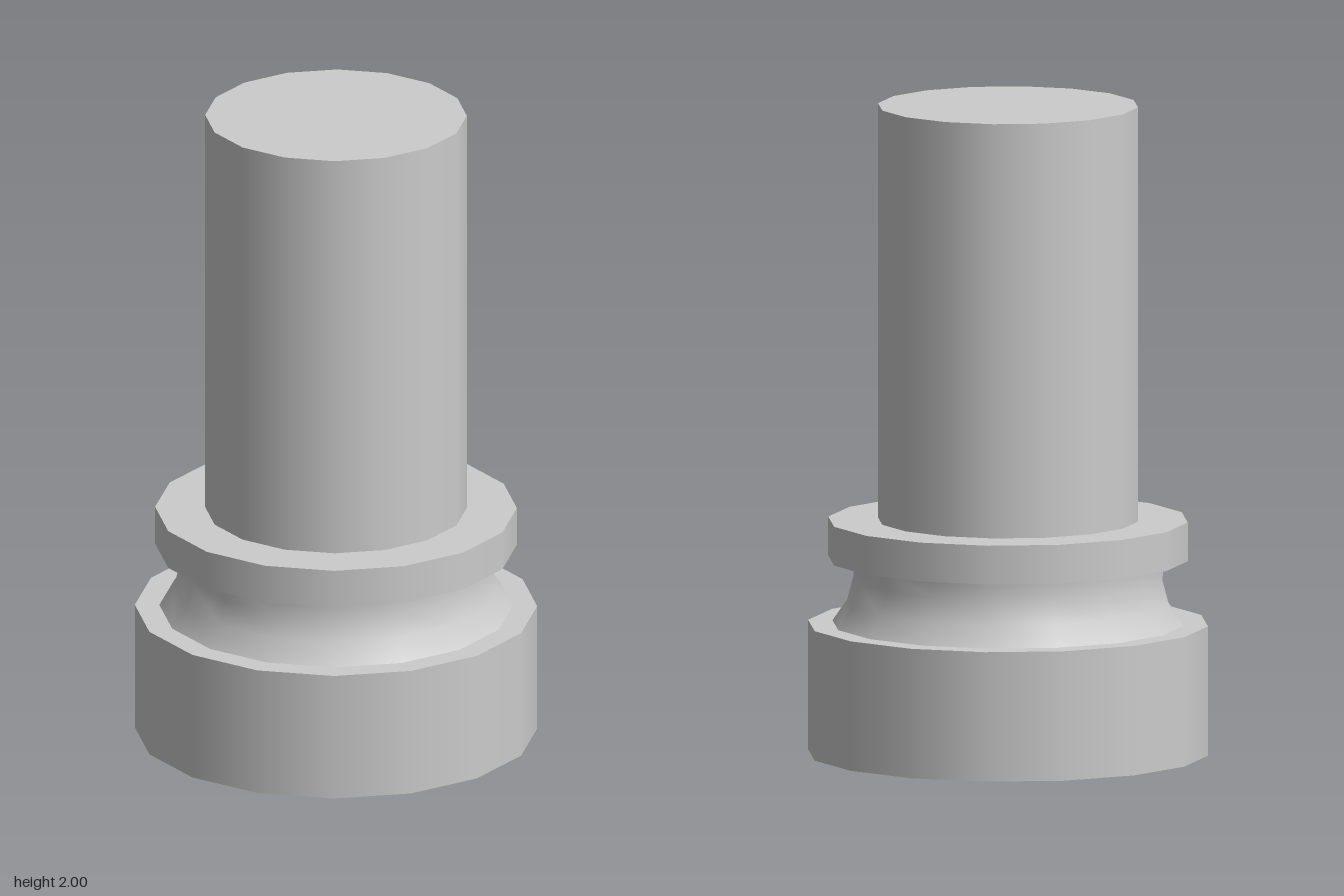
import * as THREE from 'three';

const SIDES = 16;
const material = new THREE.MeshStandardMaterial({ color: 0xcccccc, side: THREE.DoubleSide });

// One smooth band per profile; separate bands keep the rims sharp.
function band(name, profile) {
  const points = profile.map(([r, y]) => new THREE.Vector2(r, y));
  const mesh = new THREE.Mesh(new THREE.LatheGeometry(points, SIDES), material);
  mesh.name = name;
  return mesh;
}

// A part made of several bands, profiles running from the bottom outwards and up.
function part(name, bands) {
  const group = new THREE.Group();
  group.name = name;
  for (const [bandName, profile] of Object.entries(bands)) group.add(band(bandName, profile));
  return group;
}

export function createModel() {
  const model = new THREE.Group();
  model.name = 'steppedPipe';

  // Wide base skirt, open underneath
  model.add(part('base', {
    baseWall: [[0.615, 0], [0.615, 0.4]],
    baseShoulder: [[0.615, 0.4], [0.54, 0.4]],
  }));

  // Concave neck between base and collar
  model.add(band('neck', [[0.54, 0.4], [0.495, 0.465], [0.475, 0.54], [0.48, 0.6]]));

  // Flat collar
  model.add(part('collar', {
    collarUnderside: [[0.48, 0.6], [0.553, 0.6]],
    collarWall: [[0.553, 0.6], [0.553, 0.72]],
    collarTop: [[0.553, 0.72], [0.4, 0.72]],
  }));

  // Tall tube running the full height, capped on top and open below
  model.add(part('tube', {
    tubeWall: [[0.4, 0], [0.4, 2]],
    tubeCap: [[0.4, 2], [0, 2]],
  }));

  return model;
}
